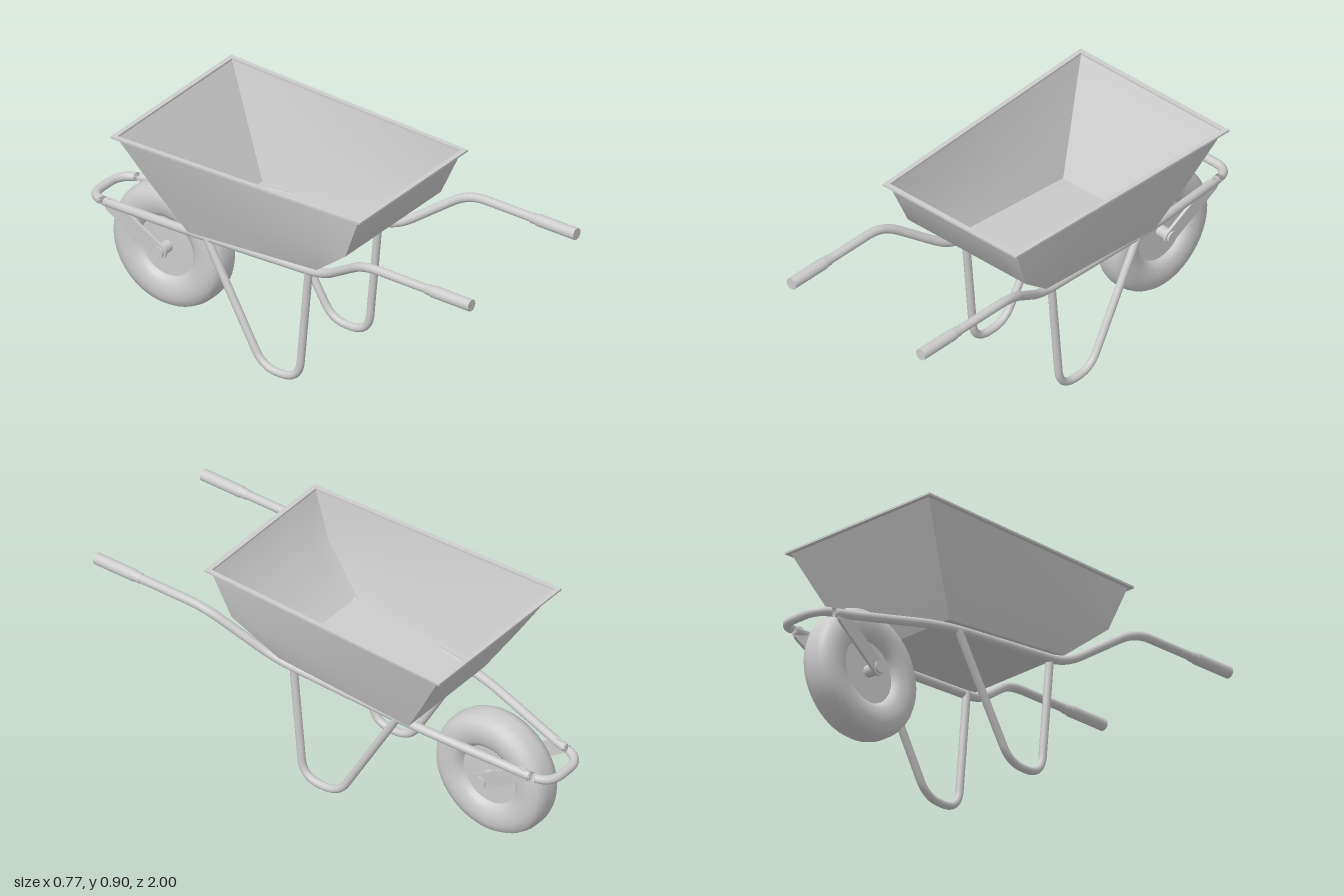
import * as THREE from 'three';

const V = (x, y, z) => new THREE.Vector3(x, y, z);

export function createModel() {
  const group = new THREE.Group();
  const mat = new THREE.MeshStandardMaterial({ color: 0xcccccc });
  const sheetMat = new THREE.MeshStandardMaterial({ color: 0xcccccc, side: THREE.DoubleSide });

  const add = (name, geo, material = mat) => {
    const mesh = new THREE.Mesh(geo, material);
    mesh.name = name;
    group.add(mesh);
    return mesh;
  };

  // Bent pipe: straight runs joined by rounded corners; each point is [x, y, z, bend]
  const pipe = (name, pts, radius, segments) => {
    const path = new THREE.CurvePath();
    const p = pts.map((a) => V(a[0], a[1], a[2]));
    let from = p[0];
    for (let i = 1; i < p.length - 1; i++) {
      const toward = (q) => p[i].clone().add(q.clone().sub(p[i]).setLength(pts[i][3]));
      const a = toward(p[i - 1]), b = toward(p[i + 1]);
      path.add(new THREE.LineCurve3(from, a));
      path.add(new THREE.QuadraticBezierCurve3(a, p[i], b));
      from = b;
    }
    path.add(new THREE.LineCurve3(from, p[p.length - 1]));
    return add(name, new THREE.TubeGeometry(path, segments, radius, 16));
  };

  // Smooth sheet between two edge polylines of equal length
  const sheet = (name, edgeA, edgeB, across = 8) => {
    const pos = [], idx = [], n = across + 1;
    edgeA.forEach((a, i) => {
      for (let j = 0; j <= across; j++) pos.push(...a.clone().lerp(edgeB[i], j / across).toArray());
    });
    for (let i = 0; i < edgeA.length - 1; i++) {
      for (let j = 0; j < across; j++) {
        const k = i * n + j;
        idx.push(k, k + 1, k + n, k + 1, k + n + 1, k + n);
      }
    }
    const geo = new THREE.BufferGeometry();
    geo.setAttribute('position', new THREE.Float32BufferAttribute(pos, 3));
    geo.setIndex(idx);
    geo.computeVertexNormals();
    add(name, geo, sheetMat);
  };

  // Tray: corner edges run from floor to rim
  const frontEdge = (s) => [V(s * 0.245, 0.55, 0.2), V(s * 0.305, 0.7, 0.38), V(s * 0.328, 0.893, 0.46)];
  const rearEdge = (s) => new THREE.QuadraticBezierCurve3(
    V(s * 0.238, 0.5, -0.415), V(s * 0.298, 0.67, -0.525), V(s * 0.367, 0.893, -0.655)).getPoints(2);
  sheet('trayFrontWall', frontEdge(-1), frontEdge(1));
  sheet('trayRearWall', rearEdge(1), rearEdge(-1));
  sheet('trayLeftWall', frontEdge(1), rearEdge(1));
  sheet('trayRightWall', rearEdge(-1), frontEdge(-1));
  sheet('trayFloor', [frontEdge(-1)[0], frontEdge(1)[0]], [rearEdge(-1)[0], rearEdge(1)[0]]);

  // Flat rim around the tray opening (shape y is -z)
  const outline = (xFront, zFront, xRear, zRear) => [
    new THREE.Vector2(-xFront, -zFront), new THREE.Vector2(xFront, -zFront),
    new THREE.Vector2(xRear, -zRear), new THREE.Vector2(-xRear, -zRear)];
  const rimShape = new THREE.Shape(outline(0.345, 0.478, 0.385, -0.672));
  rimShape.holes.push(new THREE.Path(outline(0.326, 0.457, 0.365, -0.652).reverse()));
  const rim = new THREE.ExtrudeGeometry(rimShape, { depth: 0.008, bevelEnabled: false });
  rim.rotateX(-Math.PI / 2).translate(0, 0.892, 0);
  add('trayRim', rim);

  // Main frame: one pipe from handle to handle, around the wheel
  const half = [
    [0.335, 0.715, 0.8, 0], [0.335, 0.715, 0.49, 0.08], [0.232, 0.53, 0.22, 0.08],
    [0.207, 0.485, -0.42, 0.12], [0.118, 0.413, -0.86, 0.05], [0.098, 0.4, -0.982, 0.075]];
  const mirrored = half.map(([x, y, z, b]) => [-x, y, z, b]).reverse();
  pipe('frame', [...half, ...mirrored], 0.018, 260);

  for (const s of [1, -1]) {
    const side = s > 0 ? 'left' : 'right';

    // Handle grip with a small shoulder
    const grip = new THREE.LatheGeometry([
      [0.017, 0.785], [0.021, 0.79], [0.021, 0.81], [0.024, 0.82], [0.024, 0.82],
      [0.024, 1], [0.024, 1], [0, 1]].map(([r, z]) => new THREE.Vector2(r, z)), 20);
    grip.rotateX(Math.PI / 2).translate(s * 0.335, 0.715, 0);
    add(side + 'Grip', grip);

    // U-shaped leg
    pipe(side + 'Leg', [
      [s * 0.222, 0.53, 0.147, 0], [s * 0.222, 0.02, 0.1, 0.085],
      [s * 0.222, 0.02, -0.07, 0.07], [s * 0.215, 0.49, -0.342, 0]], 0.016, 90);

    // Flat wheel bracket running from the axle up to the frame
    const w = 0.032, len = 0.25;
    const bar = new THREE.Shape();
    bar.absarc(0, 0, w, Math.PI / 2, Math.PI * 1.5);
    bar.lineTo(len, -w);
    bar.absarc(len, 0, w, -Math.PI / 2, Math.PI / 2);
    const bracketGeo = new THREE.ExtrudeGeometry(bar, { depth: 0.012, bevelEnabled: false, curveSegments: 12 });
    bracketGeo.translate(0, 0, -0.006);
    const along = V(s * 0.02, 0.135, -0.205).normalize();
    const normal = V(1, 0, 0).addScaledVector(along, -along.x).normalize();
    const basis = new THREE.Matrix4().makeBasis(along, normal.clone().cross(along), normal);
    basis.setPosition(s * 0.095, 0.265, -0.655);
    add(side + 'Bracket', bracketGeo.applyMatrix4(basis));
  }

  // Wheel: parts are turned around y, then laid along x
  const wheelPart = (name, geo, material) => {
    geo.rotateZ(-Math.PI / 2).translate(0, 0.265, -0.655);
    add(name, geo, material);
  };
  const tyreSide = [[0.125, 0.04], [0.135, 0.058], [0.155, 0.07], [0.185, 0.075], [0.212, 0.074],
    [0.24, 0.064], [0.253, 0.045], [0.26, 0.022]];
  const tyre = [...tyreSide.map(([r, x]) => [r, -x]), ...tyreSide.slice().reverse()];
  wheelPart('tyre', new THREE.LatheGeometry(tyre.map(([r, x]) => new THREE.Vector2(r, x)), 56));
  wheelPart('wheelDisc', new THREE.CylinderGeometry(0.127, 0.127, 0.084, 48));
  wheelPart('axle', new THREE.CylinderGeometry(0.024, 0.024, 0.218, 24));

  return group;
}
